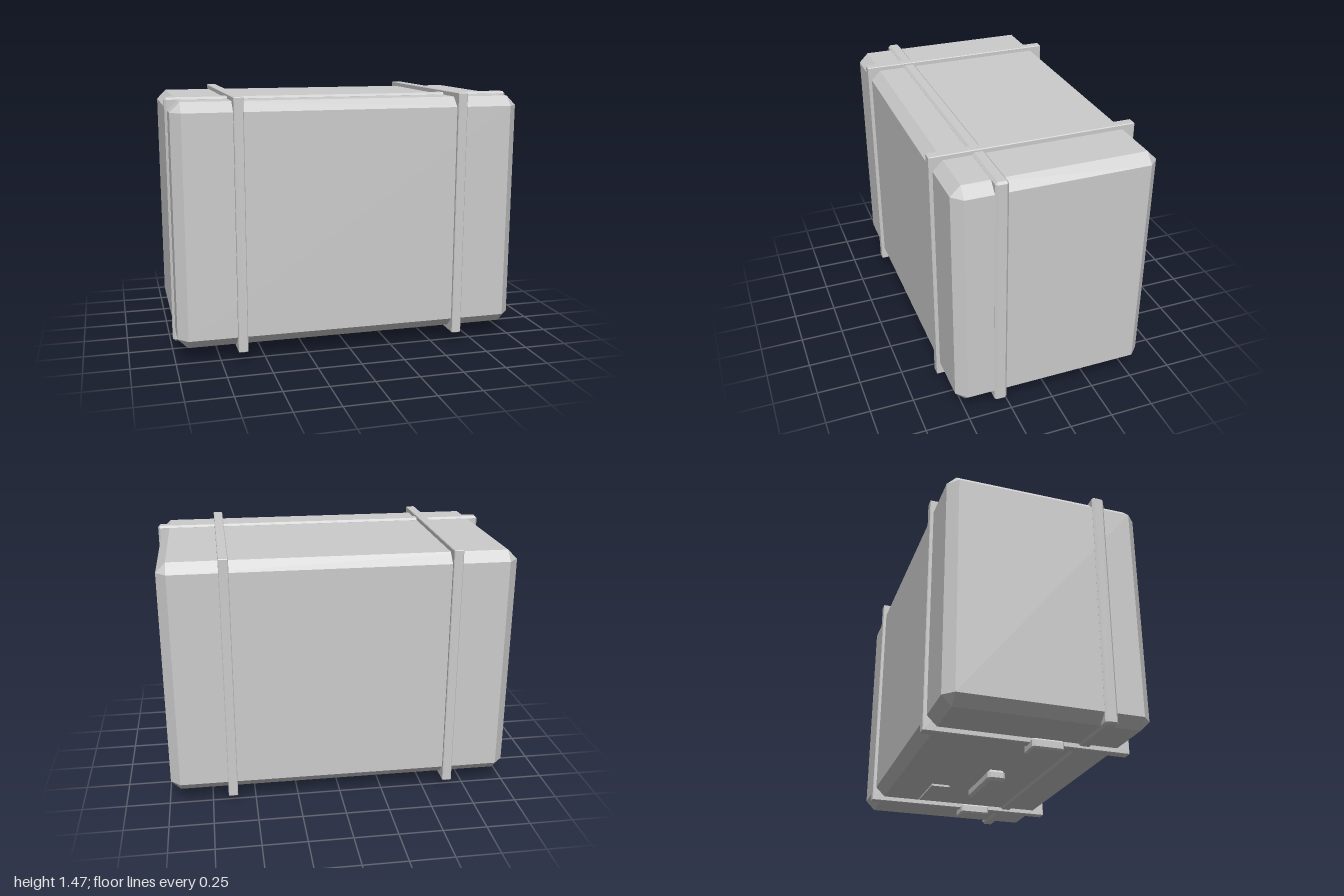
import * as THREE from 'three';
import { ConvexGeometry } from 'three/addons/geometries/ConvexGeometry.js';

// Box given by its ranges, with every edge cut flat by b
function chamferBox([x0, x1], [y0, y1], [z0, z1], b) {
  const half = [(x1 - x0) / 2, (y1 - y0) / 2, (z1 - z0) / 2];
  const points = [];
  for (const sx of [-1, 1]) for (const sy of [-1, 1]) for (const sz of [-1, 1]) {
    for (let face = 0; face < 3; face++) {
      const [x, y, z] = half.map((h, axis) => (axis === face ? h : h - b));
      points.push(new THREE.Vector3(sx * x, sy * y, sz * z));
    }
  }
  return new ConvexGeometry(points).translate((x0 + x1) / 2, (y0 + y1) / 2, (z0 + z1) / 2);
}

export function createModel() {
  const group = new THREE.Group();
  const grey = new THREE.MeshStandardMaterial({ color: 0xcccccc });
  grey.name = 'light grey';

  const add = (name, geometry) => {
    const mesh = new THREE.Mesh(geometry, grey);
    mesh.name = name;
    group.add(mesh);
  };

  // Main case
  add('caseBody', chamferBox([-0.987, 0.987], [0.092, 1.448], [-0.558, 0.558], 0.055));

  // Band around the lid seam
  add('seamBand', chamferBox([-1, 1], [0.08, 1.461], [0.277, 0.348], 0.012));

  // Straps running front to back, each with a clip underneath
  for (const [side, x] of [['left', 0.633], ['right', -0.633]]) {
    add(side + 'Strap', chamferBox([x - 0.027, x + 0.027], [0.064, 1.474], [-0.578, 0.578], 0.004));
    add(side + 'Clip', chamferBox([x - 0.065, x + 0.065], [0.026, 0.083], [0, 0.18], 0.01));
  }

  // Handle and name plate on the underside
  add('handle', chamferBox([-0.2, 0.197], [0, 0.064], [-0.076, 0.03], 0.016));
  add('namePlate', new THREE.BoxGeometry(0.3, 0.012, 0.109).translate(0.3, 0.051, -0.257));

  return group;
}
